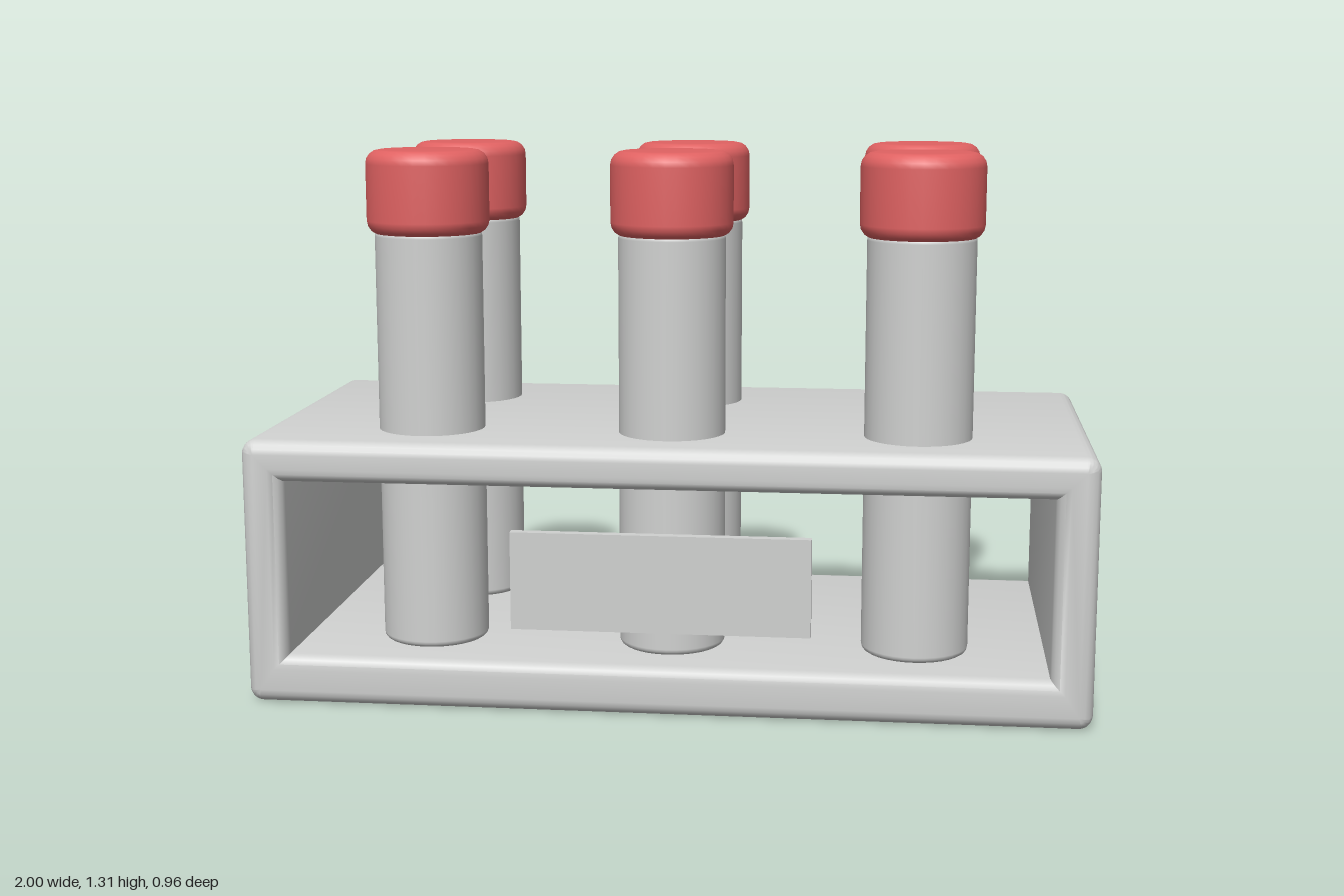
import * as THREE from 'three';
import { toCreasedNormals } from 'three/addons/utils/BufferGeometryUtils.js';

const grey = new THREE.MeshStandardMaterial({ color: 0xd0d1d0 });
grey.name = 'light grey plastic';
const red = new THREE.MeshStandardMaterial({ color: 0xe06262 });
red.name = 'red cap';

// Rectangle outline with rounded corners
function roundedRect(x0, y0, x1, y1, r) {
  const s = new THREE.Shape();
  s.absarc(x1 - r, y0 + r, r, -Math.PI / 2, 0);
  s.absarc(x1 - r, y1 - r, r, 0, Math.PI / 2);
  s.absarc(x0 + r, y1 - r, r, Math.PI / 2, Math.PI);
  s.absarc(x0 + r, y0 + r, r, Math.PI, Math.PI * 1.5);
  s.closePath();
  return s;
}

// Solid cylinder with rounded rims, from y0 to y1
function roundedCylinder(radius, y0, y1, r) {
  const points = [new THREE.Vector2(0, y0)];
  const steps = 4;
  for (let i = 0; i <= steps; i++) {
    const a = -Math.PI / 2 + (i / steps) * Math.PI / 2;
    points.push(new THREE.Vector2(radius - r + r * Math.cos(a), y0 + r + r * Math.sin(a)));
  }
  for (let i = 0; i <= steps; i++) {
    const a = (i / steps) * Math.PI / 2;
    points.push(new THREE.Vector2(radius - r + r * Math.cos(a), y1 - r + r * Math.sin(a)));
  }
  points.push(new THREE.Vector2(0, y1));
  return new THREE.LatheGeometry(points, 32);
}

function addMesh(parent, name, geometry, material) {
  const mesh = new THREE.Mesh(geometry, material);
  mesh.name = name;
  parent.add(mesh);
  return mesh;
}

export function createModel() {
  const model = new THREE.Group();
  model.name = 'testTubeRack';

  // Rack: hollow box open at front and back, with rounded rims
  const back = -0.48, front = 0.457, bevel = 0.033;
  const outline = roundedRect(-1, 0, 1, 0.64, 0.034);
  outline.holes.push(new THREE.Path([
    new THREE.Vector2(-0.9, 0.117), new THREE.Vector2(-0.9, 0.54),
    new THREE.Vector2(0.9, 0.54), new THREE.Vector2(0.9, 0.117),
  ]));
  const rackGeometry = new THREE.ExtrudeGeometry(outline, {
    depth: front - back - 2 * bevel, curveSegments: 5,
    bevelEnabled: true, bevelThickness: bevel, bevelSize: bevel,
    bevelOffset: -bevel, bevelSegments: 4,
  });
  rackGeometry.translate(0, 0, back + bevel);
  addMesh(model, 'rack', toCreasedNormals(rackGeometry, 0.7), grey);

  // Label plate at the front opening
  const label = addMesh(model, 'labelPlate', new THREE.BoxGeometry(0.7, 0.232, 0.023), grey);
  label.position.set(0, 0.327, 0.4685);

  // Six capped tubes in two rows
  const tubeGeometry = roundedCylinder(0.128, 0.117, 1.122, 0.015);
  const capGeometry = roundedCylinder(0.146, 1.11, 1.312, 0.034);
  for (const z of [0.222, -0.248]) {
    for (const x of [-0.588, 0, 0.588]) {
      const tube = new THREE.Group();
      tube.name = 'cappedTube';
      tube.position.set(x, 0, z);
      addMesh(tube, 'tube', tubeGeometry, grey);
      addMesh(tube, 'cap', capGeometry, red);
      model.add(tube);
    }
  }
  return model;
}
